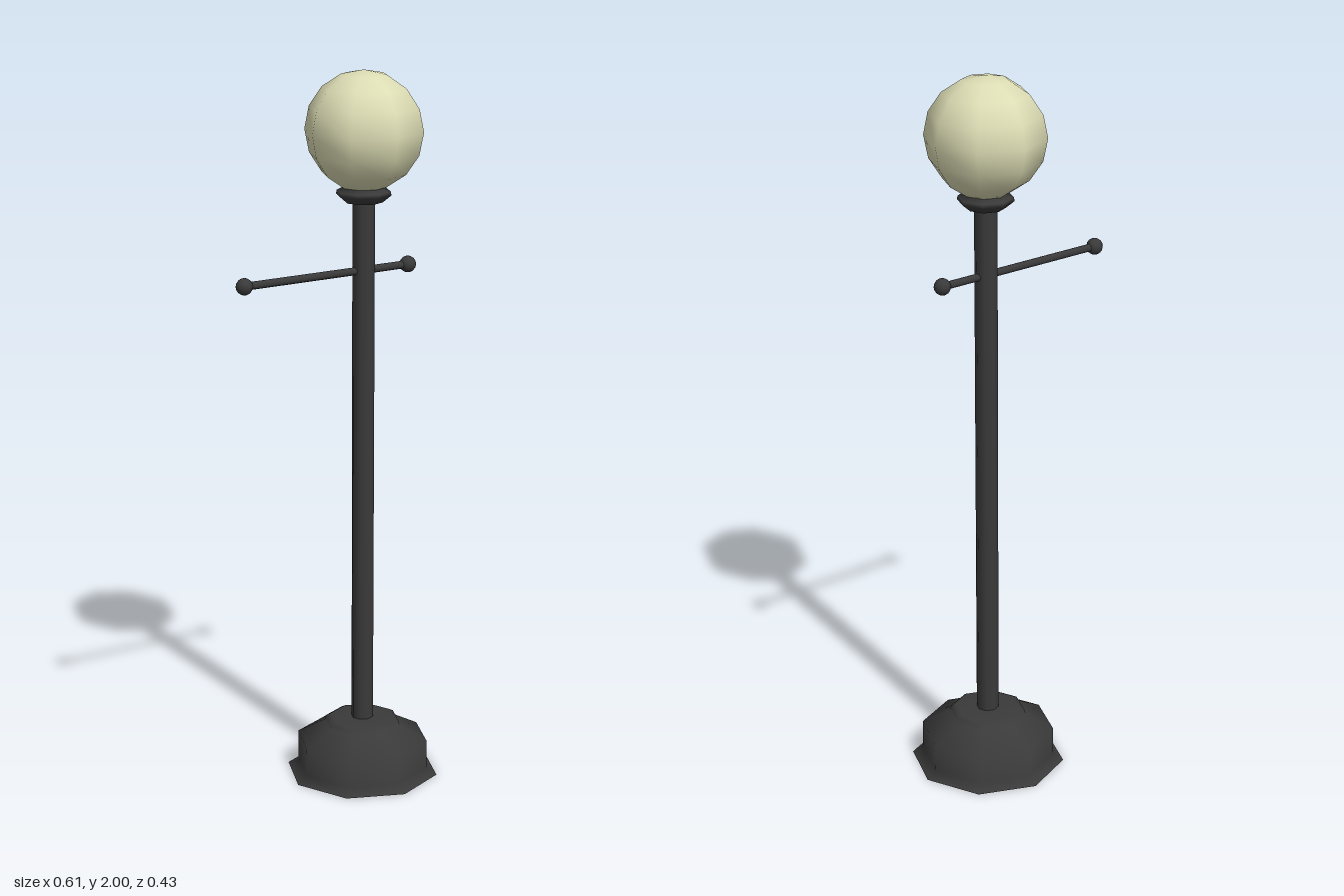
import * as THREE from 'three';

const SIDES = 8;

export function createModel() {
  const metal = new THREE.MeshStandardMaterial({ color: 0x3a3a3a, side: THREE.DoubleSide });
  metal.name = 'dark iron';
  const glass = new THREE.MeshStandardMaterial({ color: 0xdcdcb4 });
  glass.name = 'pale cream glass';

  const lamp = new THREE.Group();
  lamp.name = 'streetLamp';
  // the whole lamp is turned slightly and stands off centre because of its long arm
  lamp.position.x = 0.091;
  lamp.rotation.y = -0.1;

  const add = (name, geometry, material, x = 0, y = 0) => {
    const mesh = new THREE.Mesh(geometry, material);
    mesh.name = name;
    mesh.position.set(x, y, 0);
    lamp.add(mesh);
    return mesh;
  };
  const lathe = (profile) =>
    new THREE.LatheGeometry(profile.map(([r, y]) => new THREE.Vector2(r, y)), SIDES);

  // hollow flared foot with a stepped shoulder
  add('base', lathe([
    [0.216, 0], [0.187, 0.02], [0.187, 0.1], [0.108, 0.143], [0.105, 0.155], [0.09, 0.163], [0.03, 0.163],
  ]), metal);

  // post
  add('post', new THREE.CylinderGeometry(0.031, 0.031, 1.5, SIDES, 1, true), metal, 0, 0.91);

  // collar that holds the globe
  add('collar', lathe([
    [0.03, 1.645], [0.052, 1.645], [0.076, 1.665], [0.074, 1.675], [0.058, 1.683], [0.066, 1.695],
  ]), metal);

  // globe
  add('globe', new THREE.SphereGeometry(0.163, SIDES, 8), glass, 0, 1.837);

  // ladder bar with a ball on each end
  const left = 0.145, right = -0.376, barY = 1.457;
  const bar = add('ladderBar', new THREE.CylinderGeometry(0.011, 0.011, left - right, SIDES),
    metal, (left + right) / 2, barY);
  bar.rotation.z = Math.PI / 2;
  for (const [name, x] of [['leftBall', left], ['rightBall', right]]) {
    add(name, new THREE.SphereGeometry(0.023, 12, 8), metal, x, barY);
  }

  const model = new THREE.Group();
  model.name = 'model';
  model.add(lamp);
  return model;
}
